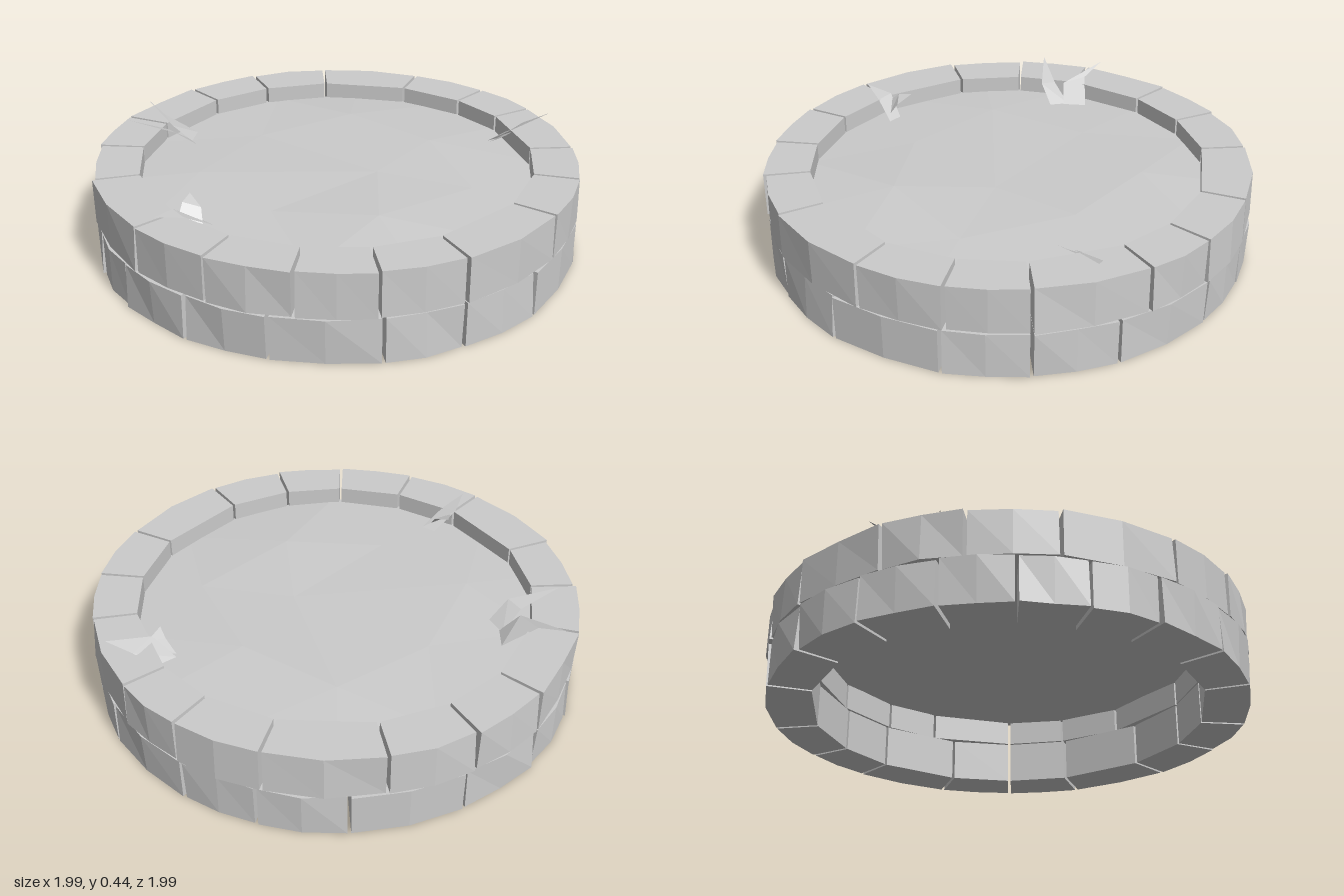
import * as THREE from 'three';

const stone = new THREE.MeshStandardMaterial({ color: 0xcccccc, flatShading: true });
const sheet = new THREE.MeshStandardMaterial({ color: 0xcccccc, flatShading: true, side: THREE.DoubleSide });

// Repeatable 0..1 noise from a position
function noise(x, y, z) {
  const s = Math.sin(x * 127.1 + y * 311.7 + z * 74.7) * 43758.5453;
  return s - Math.floor(s);
}

// Wedge-shaped stone between two angles (degrees, from +x towards +z)
function brick(a0, a1, yBottom, yTop) {
  const gap = 0.4, inner = 0.81, outer = 0.998;
  const at = (deg, r) => {
    const a = THREE.MathUtils.degToRad(deg);
    return new THREE.Vector2(Math.cos(a) * r, Math.sin(a) * r);
  };
  const s = a0 + gap, e = a1 - gap, mid = (s + e) / 2;
  const shape = new THREE.Shape([at(s, inner), at(s, outer), at(mid, outer), at(e, outer), at(e, inner)]);
  const geo = new THREE.ExtrudeGeometry(shape, { depth: yTop - yBottom, bevelEnabled: false });
  geo.rotateX(Math.PI / 2).translate(0, yTop, 0);
  // Chip the outer corners inwards a little so every stone differs
  const p = geo.attributes.position;
  for (let i = 0; i < p.count; i++) {
    const x = p.getX(i), y = p.getY(i), z = p.getZ(i);
    if (Math.hypot(x, z) < 0.9) continue;
    const k = 1 - 0.016 * noise(Math.round(x * 100), Math.round(y * 100), Math.round(z * 100));
    p.setXYZ(i, x * k, y, z * k);
  }
  geo.computeVertexNormals();
  return new THREE.Mesh(geo, stone);
}

// Closed course of stones, from the angles of its joints
function course(name, joints, yBottom, yTop) {
  const group = new THREE.Group();
  group.name = name;
  joints.forEach((a, i) => {
    const next = i + 1 < joints.length ? joints[i + 1] : joints[0] + 360;
    const mesh = brick(a, next, yBottom, yTop);
    mesh.name = 'stone' + (i + 1);
    group.add(mesh);
  });
  return group;
}

// Uneven low-poly ground: a centre and two rings
function soil() {
  const verts = [0.17, 0.325, 0.05], index = [], n = 7, m = 14;
  for (let i = 0; i < n; i++) {
    const a = (i / n) * Math.PI * 2 + 0.3, r = 0.45 + 0.13 * noise(i, 2, 5);
    verts.push(Math.cos(a) * r, 0.305 + 0.03 * noise(i, 7, 1), Math.sin(a) * r);
  }
  for (let i = 0; i < m; i++) {
    const a = (i / m) * Math.PI * 2 + 0.3;
    verts.push(Math.cos(a) * 0.84, 0.3 + 0.012 * noise(i, 3, 9), Math.sin(a) * 0.84);
  }
  const inner = i => 1 + (i % n), rim = i => 1 + n + (i % m);
  for (let i = 0; i < n; i++) {
    const a = inner(i), b = inner(i + 1), j = 2 * i;
    index.push(0, b, a, a, rim(j + 1), rim(j), a, b, rim(j + 1), b, rim(j + 2), rim(j + 1));
  }
  return surface(verts, index, 'soil');
}

function surface(verts, index, name) {
  const geo = new THREE.BufferGeometry();
  geo.setAttribute('position', new THREE.Float32BufferAttribute(verts, 3));
  geo.setIndex(index);
  geo.computeVertexNormals();
  const mesh = new THREE.Mesh(geo, sheet);
  mesh.name = name;
  return mesh;
}

// Leaf: two base corners, two middle corners and a tip
const leaf = points => surface(points.flat(), [0, 1, 3, 0, 3, 2, 2, 3, 4], 'leaf');

function tuft(name, leaves) {
  const group = new THREE.Group();
  group.name = name;
  leaves.forEach(l => group.add(leaf(l)));
  return group;
}

export function createModel() {
  const model = new THREE.Group();
  model.name = 'raisedBed';

  model.add(
    course('lowerStones',
      [-6, 13, 39.5, 60, 78, 102, 121.5, 141, 157, 172, 188, 206, 225, 246, 272, 292, 310, 335], 0.01, 0.192),
    course('upperStones',
      [-6, 12, 32, 60, 79, 96.5, 116, 136, 163, 182.5, 201, 225, 244, 264, 290.5, 311, 328], 0.197, 0.38),
    soil()
  );

  // Plants leaning over the rim
  model.add(
    tuft('rightPlant', [
      [[-0.63, 0.32, -0.34], [-0.64, 0.32, -0.24], [-0.77, 0.4, -0.34], [-0.72, 0.39, -0.24], [-0.86, 0.44, -0.42]],
      [[-0.65, 0.32, -0.26], [-0.61, 0.33, -0.18], [-0.73, 0.39, -0.2], [-0.69, 0.4, -0.14], [-0.89, 0.45, -0.15]]
    ]),
    tuft('leftPlant', [
      [[0.65, 0.32, -0.3], [0.73, 0.32, -0.35], [0.74, 0.39, -0.25], [0.81, 0.39, -0.35], [0.91, 0.44, -0.33]],
      [[0.65, 0.32, -0.28], [0.72, 0.35, -0.3], [0.69, 0.36, -0.23], [0.76, 0.38, -0.27], [0.71, 0.39, -0.19]]
    ]),
    tuft('frontPlant', [
      [[-0.44, 0.32, 0.54], [-0.49, 0.32, 0.5], [-0.54, 0.38, 0.6], [-0.59, 0.39, 0.55], [-0.64, 0.41, 0.66]],
      [[-0.48, 0.33, 0.55], [-0.57, 0.36, 0.56], [-0.49, 0.38, 0.51], [-0.56, 0.4, 0.51], [-0.54, 0.41, 0.45]]
    ])
  );
  return model;
}
